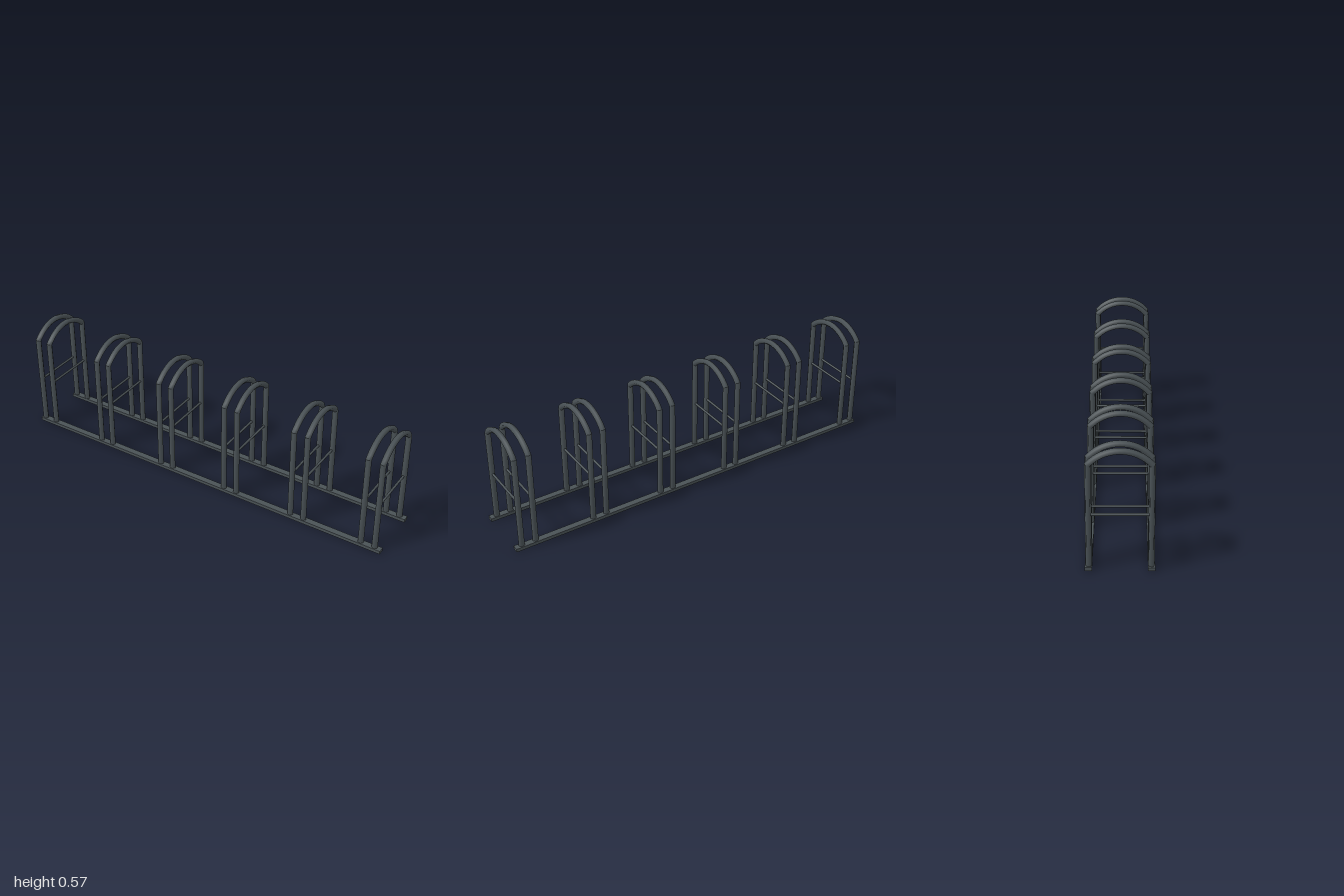
import * as THREE from 'three';

const RAIL_Z = 0.134, SPRING_Y = 0.491, APEX_Y = 0.553, TUBE_R = 0.0147, SIDES = 5;

// Hoop centreline: straight leg, shallow circular arch, straight leg (z, y)
function hoopPath() {
  const h = 0.133, rise = APEX_Y - SPRING_Y;
  const R = (h * h + rise * rise) / (2 * rise);
  const half = Math.asin(h / R), steps = 16;
  const pts = [new THREE.Vector2(h, 0.004)];
  for (let i = 0; i <= steps; i++) {
    const a = half * (1 - 2 * i / steps);
    pts.push(new THREE.Vector2(R * Math.sin(a), APEX_Y - R + R * Math.cos(a)));
  }
  pts.push(new THREE.Vector2(-h, 0.004));
  return pts;
}

// Five-sided tube swept along the path, mitred at each joint, creased at the two shoulders
function hoopGeometry() {
  const pts = hoopPath(), last = pts.length - 1;
  const pos = [], index = [];
  const dir = (i) => pts[i + 1].clone().sub(pts[i]).normalize();
  const rings = [];
  const addRing = (i) => {
    const d0 = dir(Math.max(i - 1, 0)), d1 = dir(Math.min(i, last - 1));
    const t = d0.clone().add(d1).normalize();
    const stretch = 1 / t.dot(d1);
    const nz = -t.y * -1, ny = -t.x; // outward normal in the hoop plane
    for (let k = 0; k < SIDES; k++) {
      const a = 2 * Math.PI * k / SIDES;
      const n = TUBE_R * Math.sin(a) * stretch;
      pos.push(TUBE_R * Math.cos(a), pts[i].y + ny * n, pts[i].x + nz * n);
    }
    rings.push(i);
  };
  for (let i = 0; i <= last; i++) {
    addRing(i);
    if (i === 1 || i === last - 1) addRing(i);
  }
  for (let r = 0; r + 1 < rings.length; r++) {
    if (rings[r] === rings[r + 1]) continue;
    for (let k = 0; k < SIDES; k++) {
      const a = r * SIDES + k, b = r * SIDES + (k + 1) % SIDES;
      const c = a + SIDES, d = b + SIDES;
      index.push(a, b, c, b, d, c);
    }
  }
  const g = new THREE.BufferGeometry();
  g.setAttribute('position', new THREE.Float32BufferAttribute(pos, 3));
  // Make sure the faces look outward: the first leg's faces must point away from its axis
  const v = (i) => new THREE.Vector3().fromArray(pos, i * 3);
  const p = v(index[0]), q = v(index[1]), s = v(index[2]);
  const normal = q.clone().sub(p).cross(s.clone().sub(p));
  const out = p.clone().add(q).multiplyScalar(0.5).sub(new THREE.Vector3(0, p.y, pts[0].x));
  if (normal.dot(out) < 0) index.reverse();
  g.setIndex(index);
  g.computeVertexNormals();
  return g;
}

export function createModel() {
  const model = new THREE.Group();
  model.name = 'bikeRack';
  const steel = new THREE.MeshStandardMaterial({ color: 0x4a5256 });
  steel.name = 'darkGreySteel';

  const add = (parent, geometry, name, x, y, z) => {
    const mesh = new THREE.Mesh(geometry, steel);
    mesh.name = name;
    mesh.position.set(x, y, z);
    parent.add(mesh);
    return mesh;
  };

  // Ground rails
  const rail = new THREE.BoxGeometry(2, 0.017, 0.031);
  add(model, rail, 'frontRail', 0, 0.0085, RAIL_Z);
  add(model, rail, 'backRail', 0, 0.0085, -RAIL_Z);

  // Six stands, each a pair of hoops with a crossbar
  const hoop = hoopGeometry();
  const bar = new THREE.CylinderGeometry(0.006, 0.006, 0.25, 8, 1, true).rotateX(Math.PI / 2);
  for (let i = 0; i < 6; i++) {
    const stand = new THREE.Group();
    stand.name = 'stand' + (i + 1);
    stand.position.x = -0.98 + i * 0.375;
    for (const x of [0, 0.071]) {
      add(stand, hoop, 'hoop', x, 0, 0);
      add(stand, bar, 'crossbar', x, 0.262, 0);
    }
    model.add(stand);
  }
  return model;
}
